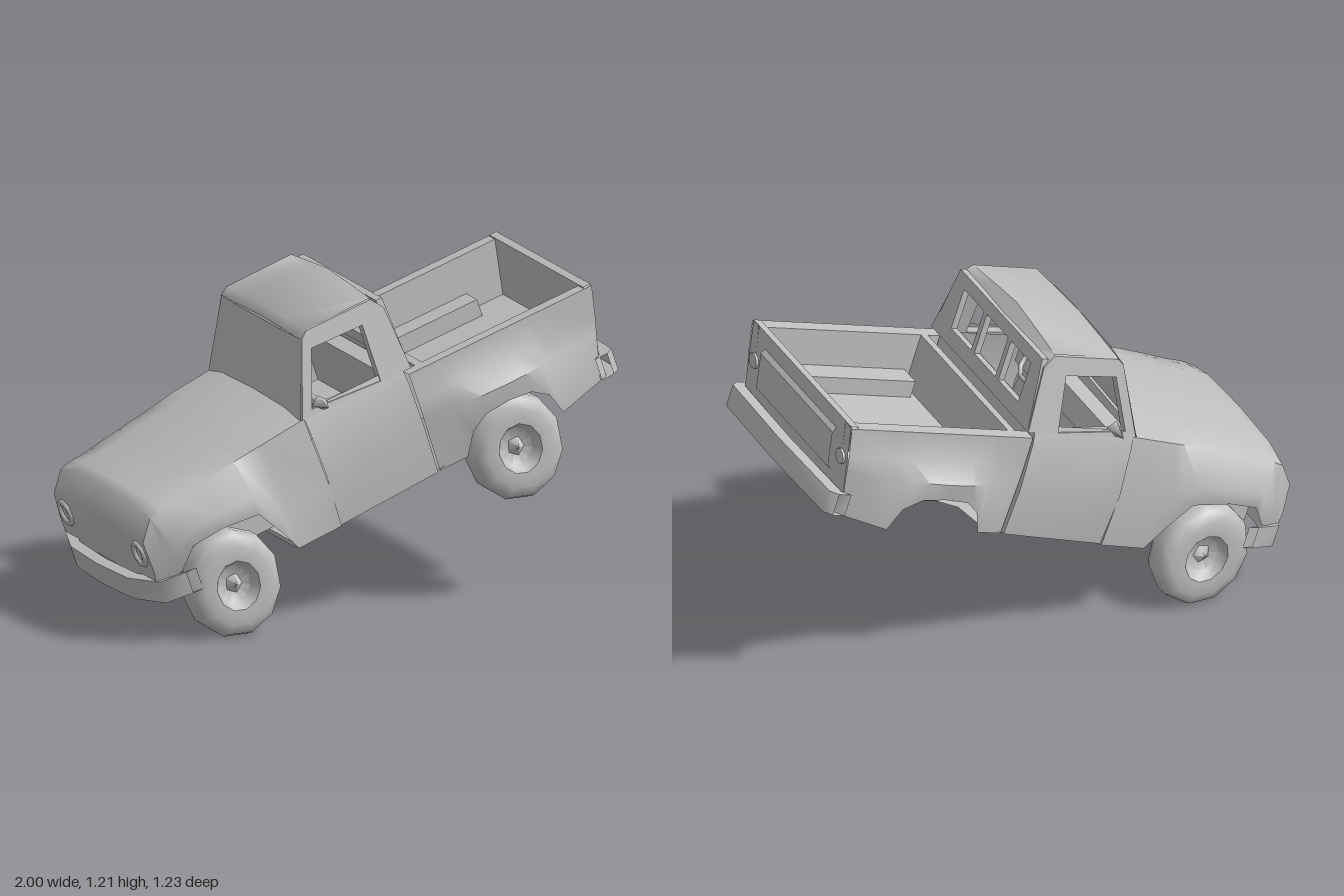
import * as THREE from 'three';
import { toCreasedNormals } from 'three/addons/utils/BufferGeometryUtils.js';

const grey = new THREE.MeshStandardMaterial({ color: 0xc0c0c0, side: THREE.DoubleSide });
grey.name = 'grey';

// Surface through rows of [x, y, z] points
function skin(rows, crease = 0.7) {
  const n = rows[0].length, index = [];
  for (let i = 0; i < rows.length - 1; i++) {
    for (let j = 0; j < n - 1; j++) {
      const a = i * n + j, b = a + n;
      index.push(a, a + 1, b, b, a + 1, b + 1);
    }
  }
  const g = new THREE.BufferGeometry();
  g.setAttribute('position', new THREE.Float32BufferAttribute(rows.flat(2), 3));
  g.setIndex(index);
  return toCreasedNormals(g, crease);
}

// Full-width row from half a section, listed from one side edge to the centre line
const mirrorRow = half => [...half, ...half.map(([x, y, z]) => [x, y, -z]).reverse()];
const closeRow = row => row.map(([x, y]) => [x, y, 0]);

function polygon(points, holes = []) {
  const s = new THREE.Shape(points.map(p => new THREE.Vector2(...p)));
  s.holes = holes.map(h => new THREE.Path(h.map(p => new THREE.Vector2(...p))));
  return s;
}

export function createModel() {
  const model = new THREE.Group();
  const truck = new THREE.Group();
  truck.name = 'truck';
  truck.position.z = -0.01;
  // Nose points to -x, yawed a little and pitched down
  truck.rotation.set(0, 0.23, 0.328, 'YXZ');
  model.add(truck);

  const add = (name, geometry, x = 0, y = 0, z = 0) => {
    const m = new THREE.Mesh(geometry, grey);
    m.name = name;
    m.position.set(x, y, z);
    truck.add(m);
    return m;
  };
  const box = (name, w, h, d, x, y, z) => add(name, new THREE.BoxGeometry(w, h, d), x, y, z);

  // Hood and front fenders: x, top, shoulder width, fender width, lower edge
  const front = [
    [-0.765, 0.71, 0.375, 0.39, 0.50], [-0.71, 0.785, 0.375, 0.41, 0.51],
    [-0.67, 0.795, 0.375, 0.43, 0.53], [-0.61, 0.80, 0.375, 0.455, 0.61],
    [-0.488, 0.82, 0.375, 0.465, 0.625], [-0.34, 0.84, 0.375, 0.46, 0.61],
    [-0.27, 0.85, 0.38, 0.44, 0.50], [-0.22, 0.857, 0.385, 0.42, 0.405],
    [-0.04, 0.875, 0.385, 0.42, 0.41],
  ].map(([x, t, s, m, b]) => mirrorRow([
    [x, b, m - 0.01], [x, b + (t - 0.05 - b) * 0.4, m], [x, t - 0.035, s], [x, t - 0.008, 0.25], [x, t, 0],
  ]));
  add('hoodAndFenders', skin([closeRow(front[0]), ...front, closeRow(front.at(-1))], 1.0));
  box('engineUnderside', 0.5, 0.1, 0.48, -0.47, 0.50, 0);
  box('frontFloor', 0.19, 0.02, 0.8, -0.13, 0.415, 0);

  // Doors and cab floor
  const cab = [-0.04, 0.1, 0.25, 0.375].map((x, i) => mirrorRow([
    [x, 0.865, 0.38], [x, 0.80, 0.40], [x, 0.62, 0.425 - i * 0.004], [x, 0.41 + i * 0.007, 0.40], [x, 0.41 + i * 0.007, 0],
  ]));
  add('doorsAndFloor', skin([...cab, closeRow(cab.at(-1))]));

  // Cab sides with open windows, leaning inward
  const sideShape = polygon(
    [[-0.05, 0.84], [0.065, 1.105], [0.09, 1.125], [0.36, 1.125], [0.395, 1.08], [0.405, 0.84]],
    [[[0.0, 0.862], [0.085, 1.06], [0.295, 1.055], [0.28, 0.845]]]);
  const sideGeo = new THREE.ExtrudeGeometry(sideShape, { depth: 0.04, bevelEnabled: false });
  const sp = sideGeo.attributes.position;
  for (let i = 0; i < sp.count; i++) sp.setZ(i, sp.getZ(i) + 0.35 - (sp.getY(i) - 0.85) * 0.2);
  sideGeo.computeVertexNormals();
  for (const s of [1, -1]) add(s > 0 ? 'cabSideLeft' : 'cabSideRight', sideGeo).scale.z = s;

  // Crowned roof
  add('roof', skin([[0.062, 1.10, 0.012], [0.09, 1.127, 0.015], [0.36, 1.13, 0.032], [0.40, 1.07, 0.02]]
    .map(([x, y, c]) => mirrorRow([[x, y, 0.33], [x, y + c * 0.55, 0.16], [x, y + c, 0]])), 1));

  // Closed windscreen
  add('windscreen', skin([[-0.055, 0.84, 0.387], [0.062, 1.105, 0.332]]
    .map(([x, y, w]) => mirrorRow([[x, y, w], [x - 0.01, y + 0.006, w * 0.6], [x - 0.012, y + 0.008, 0]]))));

  // Cab back with three window openings
  const pane = (a, b) => [[a, 0.90], [b, 0.90], [b, 1.06], [a, 1.06]];
  const backShape = polygon([[-0.385, 0.84], [0.385, 0.84], [0.33, 1.11], [-0.33, 1.11]],
    [pane(-0.27, -0.11), pane(-0.085, 0.085), pane(0.11, 0.27)]);
  add('cabBack', new THREE.ExtrudeGeometry(backShape, { depth: 0.025, bevelEnabled: false }).rotateY(-Math.PI / 2), 0.405);

  // Cab interior
  box('seatBase', 0.18, 0.12, 0.68, 0.25, 0.58, 0);
  box('seatBack', 0.06, 0.3, 0.68, 0.34, 0.70, 0);
  box('dashboard', 0.08, 0.1, 0.7, 0.0, 0.79, 0);
  const wheelRim = add('steeringWheel', new THREE.TorusGeometry(0.065, 0.01, 5, 10), 0.08, 0.82, 0.17);
  wheelRim.rotation.set(0, Math.PI / 2, 0);
  wheelRim.rotateX(-0.5);

  // Door mirrors
  for (const s of [1, -1]) {
    const mirror = add('mirror', new THREE.ConeGeometry(0.03, 0.08, 4), 0.04, 0.865, s * 0.41);
    mirror.rotation.x = s * Math.PI / 2;
  }

  // Cargo bed with rounded rear fenders: x, lower edge, fender width, rake
  const bed = [
    [0.385, 0.43, 0.405, 0], [0.495, 0.44, 0.425, 0], [0.54, 0.53, 0.445, 0], [0.60, 0.575, 0.46, 0],
    [0.70, 0.585, 0.465, 0], [0.79, 0.575, 0.46, 0], [0.85, 0.53, 0.45, 0.05], [0.89, 0.44, 0.44, 0.1], [1.07, 0.47, 0.40, 0.22],
  ].map(([x, b, m, k]) => mirrorRow([
    [b, m - 0.01], [0.65, m], [0.715, 0.405], [0.825, 0.402], [0.825, 0.35], [0.62, 0.345], [0.62, 0],
  ].map(([y, z]) => [x + (y - 0.46) * k, y, z])));
  add('cargoBed', skin(bed, 0.8));
  box('bedFrontWall', 0.03, 0.22, 0.76, 0.45, 0.715, 0);
  for (const s of [1, -1]) box('wheelWell', 0.46, 0.07, 0.09, 0.72, 0.65, s * 0.30);

  // Sloping underside from the cab floor up to the tail
  add('bedUnderside', skin([[0.38, 0.435, 0.40], [0.50, 0.47, 0.40], [0.56, 0.50, 0.345], [1.08, 0.61, 0.345]]
    .map(([x, y, w]) => mirrorRow([[x, y, w], [x, y, 0]]))));

  // Tailgate
  add('tailgate', skin([[1.09, 0.54], [1.15, 0.83], [1.12, 0.83], [1.065, 0.54], [1.09, 0.54]]
    .map(([x, y]) => mirrorRow([[x, y, 0.395], [x, y, 0]]))));
  add('tailgatePanel', skin([[1.10, 0.60], [1.12, 0.61], [1.148, 0.75], [1.137, 0.77]]
    .map(([x, y]) => mirrorRow([[x, y, 0.29], [x, y, 0]]))));
  for (const s of [1, -1]) {
    const lamp = add('tailLamp', new THREE.CylinderGeometry(0.03, 0.03, 0.03, 8), 1.115, 0.69, s * 0.35);
    lamp.rotation.z = Math.PI / 2 - 0.2;
  }

  // Bumpers: a rectangular section swept across the width
  const bumper = (name, path, low, high, inward) => {
    const half = path.map(([z, x]) => [[x, low, z], [x, high, z], [x + inward, high, z], [x + inward, low, z], [x, low, z]]);
    const other = half.slice(0, -1).reverse().map(r => r.map(([x, y, z]) => [x, y, -z]));
    add(name, skin([...half, ...other], 1.0));
  };
  bumper('frontBumper', [[0.425, -0.66], [0.40, -0.76], [0.24, -0.815], [0, -0.825]], 0.435, 0.52, 0.04);
  bumper('rearBumper', [[0.415, 1.12], [0.39, 1.15], [0, 1.16]], 0.48, 0.565, -0.05);

  // Headlights
  for (const s of [1, -1]) {
    const ring = add('headlight', new THREE.TorusGeometry(0.042, 0.012, 6, 10), -0.765, 0.615, s * 0.31);
    ring.rotation.y = Math.PI / 2;
  }

  // Wheels: thick, slightly oval tyre with a small recessed hub; the rear right one is absent
  const tyre = toCreasedNormals(new THREE.LatheGeometry([
    [0, -0.03], [0.08, -0.04], [0.10, -0.07], [0.155, -0.075], [0.19, -0.055], [0.204, -0.025],
    [0.204, 0.025], [0.19, 0.055], [0.15, 0.073], [0.095, 0.07], [0.07, 0.03], [0, 0.02],
  ].map(p => new THREE.Vector2(...p)), 11), 0.9).rotateX(Math.PI / 2);
  const hub = new THREE.ConeGeometry(0.05, 0.04, 5).rotateX(Math.PI / 2);
  for (const [name, x, s] of [['frontLeft', -0.488, 1], ['frontRight', -0.488, -1], ['rearLeft', 0.692, 1]]) {
    const w = new THREE.Group();
    w.name = name + 'Wheel';
    w.position.set(x, 0.382, s * 0.355);
    w.scale.set(0.9, 1, s);
    const t = new THREE.Mesh(tyre, grey), h = new THREE.Mesh(hub, grey);
    t.name = 'tyre';
    h.name = 'hub';
    h.position.z = 0.035;
    w.add(t, h);
    truck.add(w);
  }

  // Axles, differentials and drive shaft
  const rod = (name, r, length, x, z, axis) => {
    add(name, new THREE.CylinderGeometry(r, r, length, 6), x, 0.375, z).rotation[axis] = Math.PI / 2;
  };
  rod('frontAxle', 0.033, 0.66, -0.488, 0, 'x');
  rod('rearAxle', 0.038, 0.36, 0.692, 0.15, 'x');
  rod('driveShaft', 0.018, 1.18, 0.1, -0.03, 'z');
  for (const x of [-0.488, 0.692]) add('differential', new THREE.SphereGeometry(0.065, 6, 5), x, 0.37, -0.035);

  return model;
}
